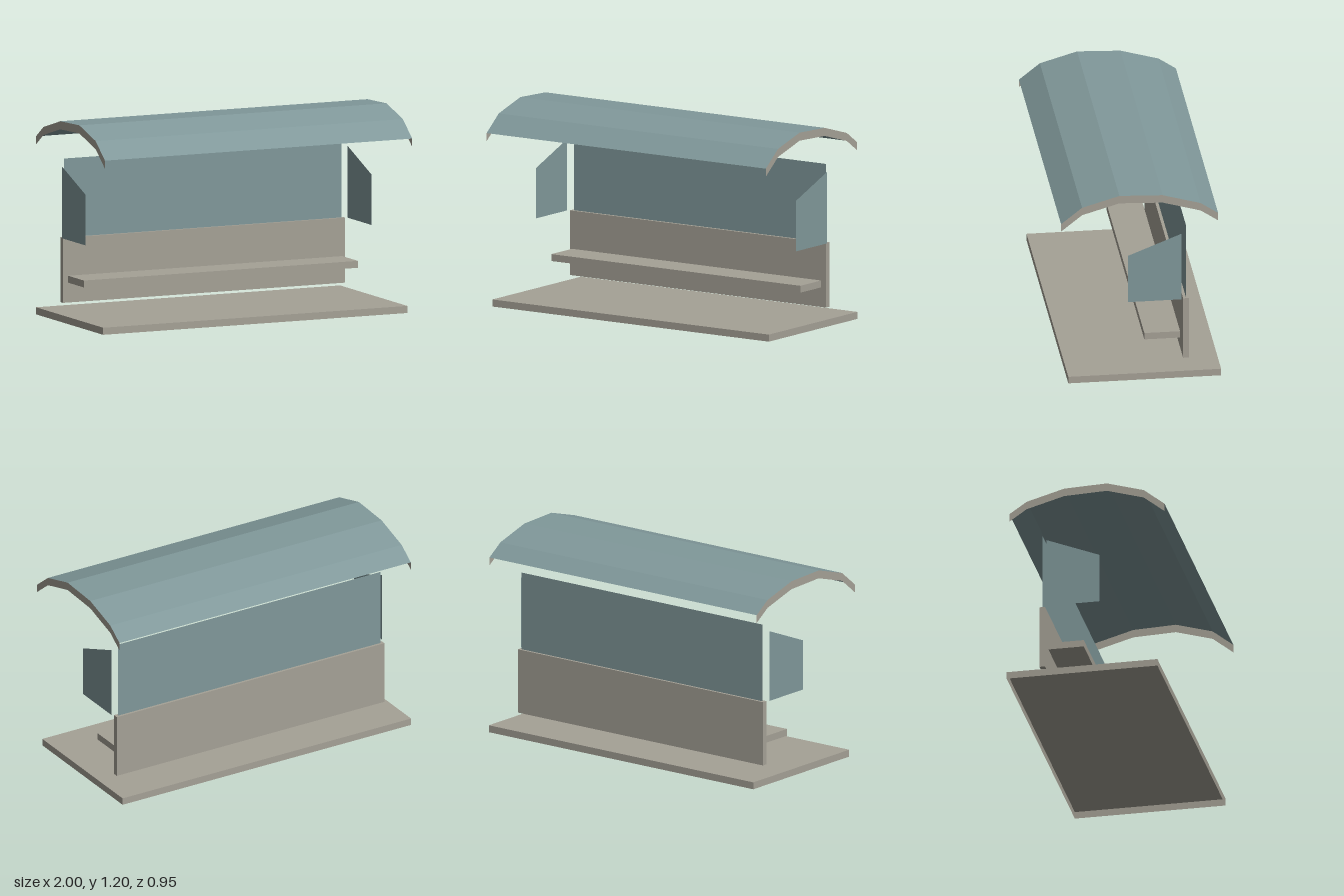
import * as THREE from 'three';

export function createModel() {
  const model = new THREE.Group();
  const opts = { side: THREE.DoubleSide, flatShading: true };
  const stone = new THREE.MeshStandardMaterial({ color: 0xa5a196, ...opts });
  stone.name = 'warmGrey';
  const teal = new THREE.MeshStandardMaterial({ color: 0x80989a, ...opts });
  teal.name = 'greyTeal';

  function add(name, geometry, material, x = 0, y = 0, z = 0) {
    const mesh = new THREE.Mesh(geometry, material);
    mesh.name = name;
    mesh.position.set(x, y, z);
    model.add(mesh);
    return mesh;
  }
  // Box given by its width and its y and z limits
  function slab(name, width, y0, y1, z0, z1) {
    return add(name, new THREE.BoxGeometry(width, y1 - y0, z1 - z0), stone,
      0, (y0 + y1) / 2, (z0 + z1) / 2);
  }
  // Flat outline in the z-y plane, facing +x after the turn
  function sidePlate(name, points, material, x) {
    const shape = new THREE.Shape(points.map(([z, y]) => new THREE.Vector2(-z, y)));
    const plate = add(name, new THREE.ShapeGeometry(shape), material, x);
    plate.rotation.y = Math.PI / 2;
  }

  // Floor platform, hollow and open underneath
  const floor = slab('floor', 1.98, 0, 0.042, -0.472, 0.43);
  const index = Array.from(floor.geometry.index.array);
  index.splice(18, 6);
  floor.geometry.setIndex(index);
  floor.geometry.clearGroups();

  // Bench seat and lower back wall
  slab('seat', 1.784, 0.212, 0.253, -0.242, -0.031);
  slab('lowerBackWall', 1.836, 0.092, 0.477, -0.29, -0.257);

  // Thin upper back panel and slanted side panels
  add('backPanel', new THREE.PlaneGeometry(1.804, 0.467), teal, 0, 0.71, -0.275);
  const side = [[0.07, 0.477], [-0.246, 0.477], [-0.246, 0.902], [0.07, 0.777]];
  sidePlate('leftPanel', side, teal, 0.93);
  sidePlate('rightPanel', side, teal, -0.93);

  // Curved roof: open faceted sheet with end strips
  const arc = [[0.474, 1.038], [0.35, 1.137], [0.13, 1.201],
    [-0.125, 1.191], [-0.35, 1.127], [-0.453, 1.057]];
  const pos = [];
  for (let i = 0; i < arc.length - 1; i++) {
    const [z0, y0] = arc[i], [z1, y1] = arc[i + 1];
    pos.push(-1, y0, z0, 1, y0, z0, 1, y1, z1, -1, y0, z0, 1, y1, z1, -1, y1, z1);
  }
  const sheet = new THREE.BufferGeometry();
  sheet.setAttribute('position', new THREE.Float32BufferAttribute(pos, 3));
  sheet.computeVertexNormals();
  add('roof', sheet, teal);
  const rim = [...arc, ...arc.map(([z, y]) => [z, y - 0.048]).reverse()];
  sidePlate('leftRoofEnd', rim, stone, 1);
  sidePlate('rightRoofEnd', rim, stone, -1);

  return model;
}
